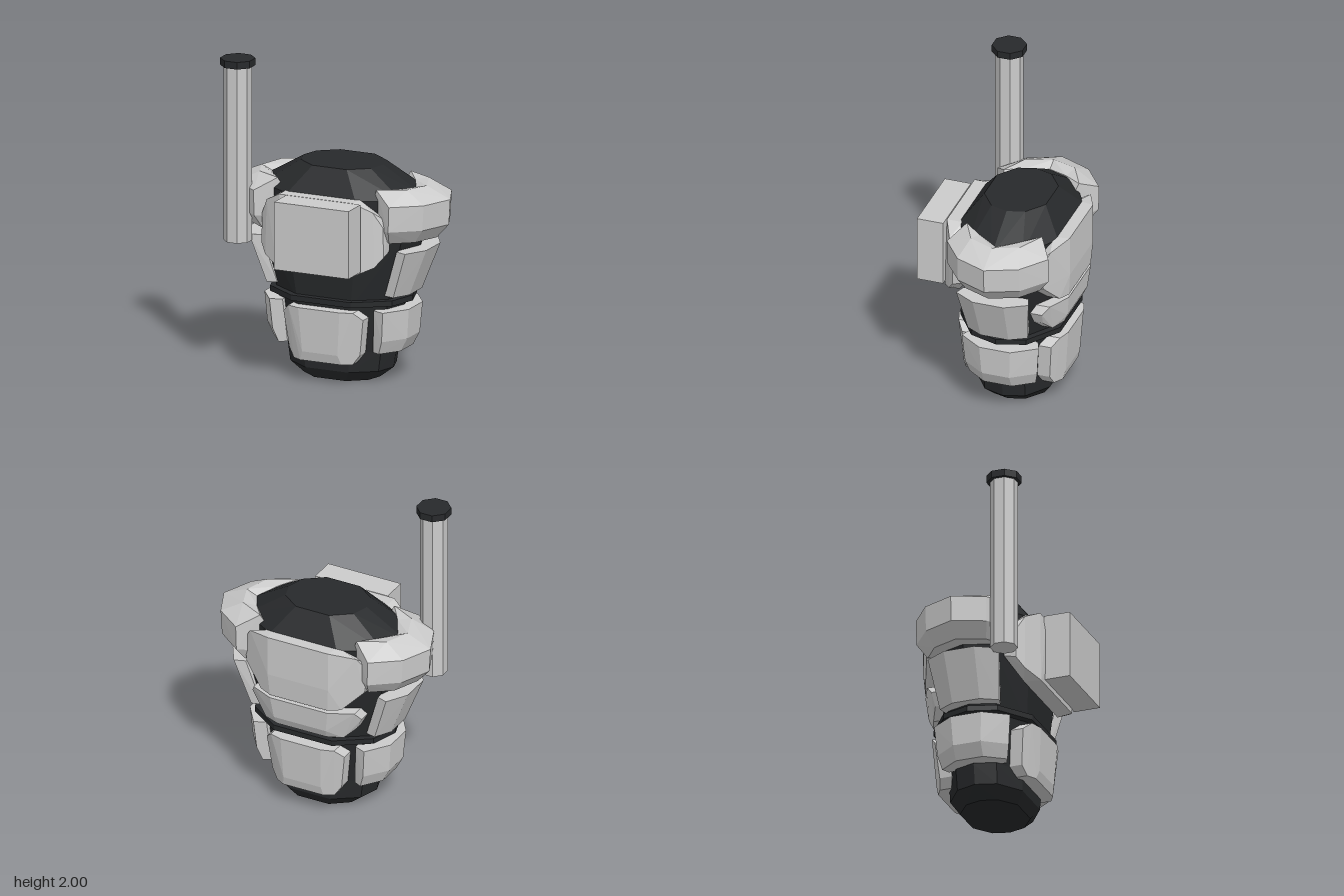
import * as THREE from 'three';
import { mergeGeometries } from 'three/addons/utils/BufferGeometryUtils.js';
import { ConvexGeometry } from 'three/addons/geometries/ConvexGeometry.js';

const ZC = -0.09; // depth centre of the torso
const grey = new THREE.MeshStandardMaterial({ color: 0xcccccc, flatShading: true });
const dark = new THREE.MeshStandardMaterial({ color: 0x27292b, flatShading: true });

const vec = (p) => new THREE.Vector3(...p);
const hull = (pts) => new ConvexGeometry(pts.map(vec));

// Joins neighbouring cross-sections into one faceted solid
const chain = (sections) => mergeGeometries(
  sections.slice(1).map((s, i) => hull([...sections[i], ...s])));

const mirrorX = (pts) => [...pts, ...pts.map(([x, y, z]) => [-x, y, z])];
const mirrorZ = (pts) => [...pts, ...pts.map(([x, y, z]) => [x, y, 2 * ZC - z])];

// Ten-sided oval outline at one height
const outline = [[1, 0], [0.88, 0.55], [0.43, 1], [-0.43, 1], [-0.88, 0.55],
  [-1, 0], [-0.88, -0.55], [-0.43, -1], [0.43, -1], [0.88, -0.55]];
const ring = (y, rx, rz) => outline.map(([x, z]) => [x * rx, y, ZC + z * rz]);

export function createModel() {
  const model = new THREE.Group();
  const add = (name, geometry, material = grey) => {
    const mesh = new THREE.Mesh(geometry, material);
    mesh.name = name;
    model.add(mesh);
    return mesh;
  };

  // Dark torso and belt
  add('torso', chain([
    ring(0, 0.25, 0.19), ring(0.07, 0.34, 0.238), ring(0.2, 0.36, 0.243),
    ring(0.5, 0.42, 0.28), ring(0.93, 0.54, 0.315), ring(1.19, 0.54, 0.32),
    ring(1.35, 0.27, 0.2)]), dark);
  add('belt', chain([ring(0.51, 0.47, 0.325), ring(0.545, 0.47, 0.325)]), dark);

  // Front armour
  add('chestPlate', hull(mirrorX([
    [0.25, 1.2, 0.305], [0.2, 1.1, 0.32], [0.2, 0.84, 0.32], [0.26, 0.74, 0.315],
    [0.36, 1.14, 0.25], [0.41, 1.04, 0.21], [0.415, 0.85, 0.21], [0.37, 0.79, 0.25],
    [0.25, 1.2, 0.2], [0.28, 0.74, 0.21], [0.42, 1.05, 0.13], [0.415, 0.87, 0.13]])));
  add('frontLowerPlate', hull(mirrorX([
    [0.14, 0.48, 0.265], [0.12, 0.2, 0.25], [0.14, 0.14, 0.235],
    [0.22, 0.48, 0.24], [0.27, 0.43, 0.2], [0.24, 0.2, 0.18], [0.2, 0.14, 0.2],
    [0.22, 0.48, 0.15], [0.27, 0.43, 0.12], [0.24, 0.2, 0.1], [0.2, 0.14, 0.13]])));

  // Back armour
  add('upperBackPlate', hull(mirrorX([
    [0.21, 1.2, -0.48], [0.21, 0.94, -0.482], [0.2, 0.79, -0.47],
    [0.37, 1.17, -0.41], [0.43, 1.08, -0.37], [0.41, 0.93, -0.38], [0.28, 0.8, -0.44],
    [0.23, 1.2, -0.38], [0.44, 1.08, -0.3], [0.42, 0.93, -0.3], [0.28, 0.8, -0.36]])));
  add('middleBackPlate', hull(mirrorX([
    [0.2, 0.77, -0.47], [0.18, 0.63, -0.455], [0.17, 0.575, -0.43],
    [0.35, 0.77, -0.4], [0.38, 0.72, -0.36], [0.34, 0.64, -0.35], [0.27, 0.575, -0.39],
    [0.35, 0.77, -0.3], [0.38, 0.72, -0.28], [0.34, 0.64, -0.28], [0.27, 0.575, -0.3]])));
  add('lowerBackPlate', hull(mirrorX([
    [0.14, 0.48, -0.445], [0.13, 0.2, -0.425], [0.14, 0.14, -0.41],
    [0.22, 0.48, -0.42], [0.27, 0.43, -0.38], [0.24, 0.2, -0.36], [0.2, 0.14, -0.375],
    [0.22, 0.48, -0.33], [0.27, 0.43, -0.3], [0.24, 0.2, -0.28], [0.2, 0.14, -0.3]])));

  // Armour repeated on both sides
  for (const [side, s] of [['left', 1], ['right', -1]]) {
    const flip = (pts) => pts.map(([x, y, z]) => [s * x, y, z]);

    add(side + 'WaistPlate', hull(flip(mirrorZ([
      [0.61, 0.87, 0.01], [0.49, 0.57, 0.0], [0.53, 0.87, 0.145], [0.43, 0.57, 0.105],
      [0.46, 0.87, 0.12], [0.365, 0.57, 0.09]]))));

    add(side + 'HipPlate', hull(flip(mirrorZ([
      [0.49, 0.48, 0.01], [0.475, 0.29, 0.0], [0.43, 0.205, 0.0],
      [0.385, 0.48, 0.16], [0.37, 0.29, 0.145], [0.34, 0.205, 0.125],
      [0.31, 0.48, 0.13], [0.29, 0.205, 0.1]]))));

    // Shoulder guard wraps around in four segments
    const half = [
      [[0.49, 1.22, 0.0], [0.56, 1.25, 0.0], [0.72, 1.18, 0.0],
        [0.71, 1.02, 0.0], [0.63, 0.93, 0.0], [0.5, 0.93, 0.0]],
      [[0.42, 1.24, 0.13], [0.5, 1.255, 0.16], [0.635, 1.18, 0.2],
        [0.625, 1.02, 0.2], [0.56, 0.93, 0.17], [0.43, 0.93, 0.13]],
      [[0.31, 1.2, 0.225], [0.335, 1.255, 0.245], [0.46, 1.18, 0.33],
        [0.455, 1.02, 0.33], [0.43, 0.93, 0.265], [0.31, 1.0, 0.225]]];
    const slice = (i, dir) => flip(half[i].map(([x, y, z]) => [x, y, -0.1 + dir * z]));
    add(side + 'ShoulderGuard', chain(
      [slice(2, -1), slice(1, -1), slice(0, 1), slice(1, 1), slice(2, 1)]));
  }

  // Box mounted on the chest
  add('chestBox', new THREE.BoxGeometry(0.505, 0.43, 0.17)).position.set(0.053, 0.985, 0.395);

  // Upright octagonal tube with its dark cap
  const octagon = (flat, h) => new THREE.CylinderGeometry(
    flat / 2 / Math.cos(Math.PI / 8), flat / 2 / Math.cos(Math.PI / 8), h, 8).rotateY(Math.PI / 8);
  add('tube', octagon(0.16, 1.12)).position.set(-0.582, 1.4, 0.197);
  add('tubeCap', octagon(0.2, 0.045), dark).position.set(-0.582, 1.9775, 0.197);

  return model;
}
